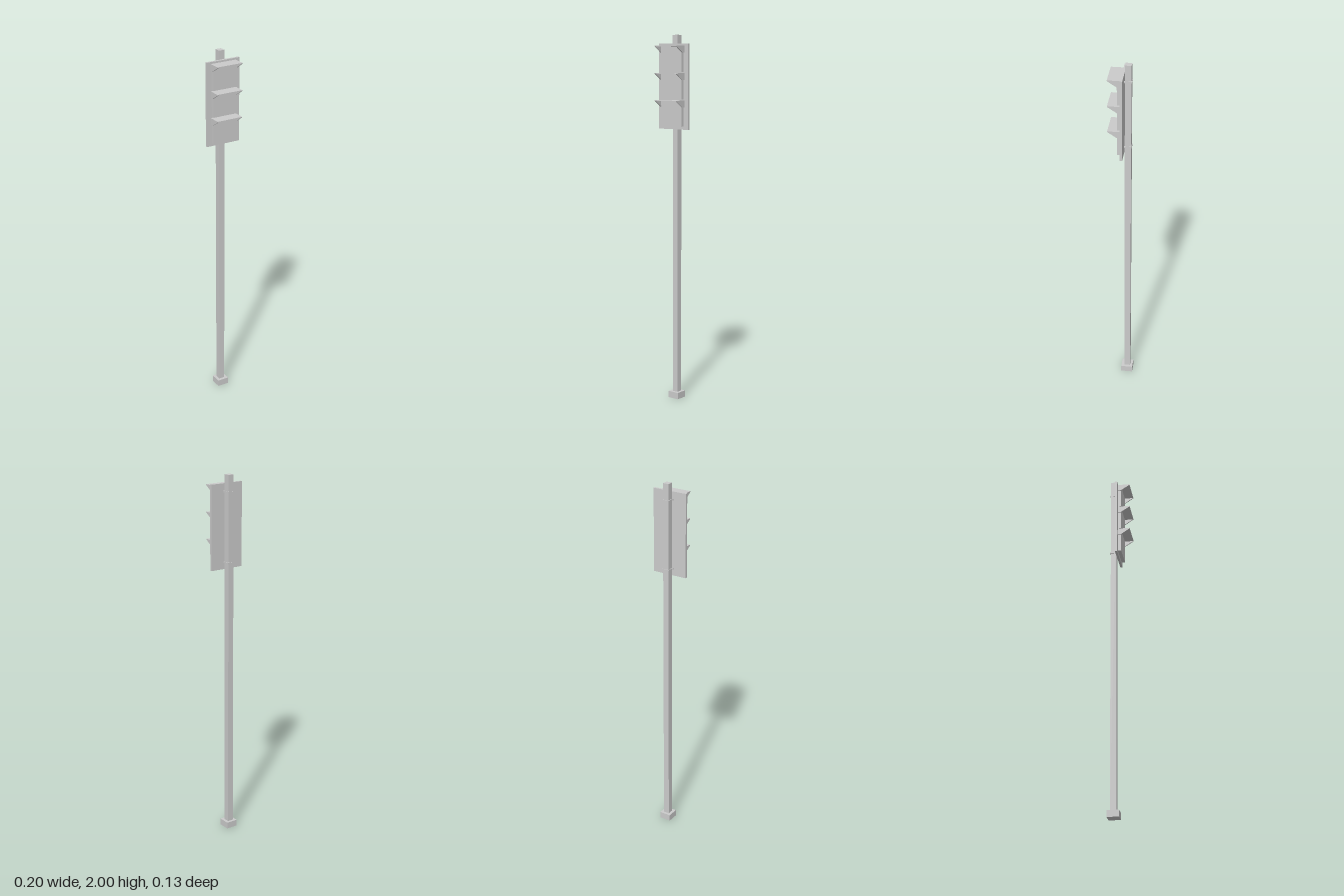
import * as THREE from 'three';

const material = new THREE.MeshStandardMaterial({ color: 0xcccccc, flatShading: true });

// Box given by its minimum and maximum on each axis
function box(parent, name, [x0, x1], [y0, y1], [z0, z1]) {
  const mesh = new THREE.Mesh(new THREE.BoxGeometry(x1 - x0, y1 - y0, z1 - z0), material);
  mesh.name = name;
  mesh.position.set((x0 + x1) / 2, (y0 + y1) / 2, (z0 + z1) / 2);
  parent.add(mesh);
  return mesh;
}

// Profile drawn in (z, y), extruded along x from x0 to x1
function sideProfile(parent, name, points, x0, x1) {
  const shape = new THREE.Shape(points.map(([z, y]) => new THREE.Vector2(-z, y)));
  const geometry = new THREE.ExtrudeGeometry(shape, { depth: x1 - x0, bevelEnabled: false });
  geometry.rotateY(Math.PI / 2).translate(x0, 0, 0);
  const mesh = new THREE.Mesh(geometry, material);
  mesh.name = name;
  parent.add(mesh);
}

// Lamp housing with a hood: thin top plate and two tapering cheeks
function createLamp() {
  const lamp = new THREE.Group();
  lamp.name = 'lamp';
  const back = -0.002, front = 0.016, tip = 0.0655, w = 0.0745, inner = 0.069;
  box(lamp, 'lampHousing', [-inner, inner], [-0.139, -0.004], [back, front]);
  box(lamp, 'hoodTop', [-w, w], [-0.004, 0], [back, tip]);
  const cheek = [[back, -0.004], [back, -0.036], [front, -0.036], [tip, -0.004]];
  sideProfile(lamp, 'hoodCheekLeft', cheek, inner, w);
  sideProfile(lamp, 'hoodCheekRight', cheek, -w, -inner);
  return lamp;
}

// U-shaped strap holding the board to the pole
function createStrap() {
  const strap = new THREE.Group();
  strap.name = 'strap';
  const h = [-0.004, 0.004];
  box(strap, 'strapBack', [-0.0195, 0.0195], h, [-0.054, -0.051]);
  for (const s of [-1, 1]) {
    const span = (a, b) => [Math.min(s * a, s * b), Math.max(s * a, s * b)];
    box(strap, 'strapSide', span(0.0165, 0.0195), h, [-0.051, -0.014]);
    box(strap, 'strapFlange', span(0.0195, 0.023), h, [-0.017, -0.014]);
  }
  return strap;
}

export function createModel() {
  const model = new THREE.Group();
  model.name = 'trafficSignal';

  // Foot and pole
  box(model, 'base', [-0.0325, 0.0325], [0, 0.036], [-0.0655, -0.001]);
  box(model, 'pole', [-0.0165, 0.0165], [0.036, 2], [-0.051, -0.0175]);

  // Backboard
  box(model, 'backboard', [-0.098, 0.098], [1.498, 1.953], [-0.0145, -0.002]);

  // Three stacked lamps
  for (let i = 0; i < 3; i++) {
    const lamp = createLamp();
    lamp.position.y = 1.943 - i * 0.1445;
    model.add(lamp);
  }

  // Upper and lower straps
  for (const y of [1.91, 1.535]) {
    const strap = createStrap();
    strap.position.y = y;
    model.add(strap);
  }
  return model;
}
